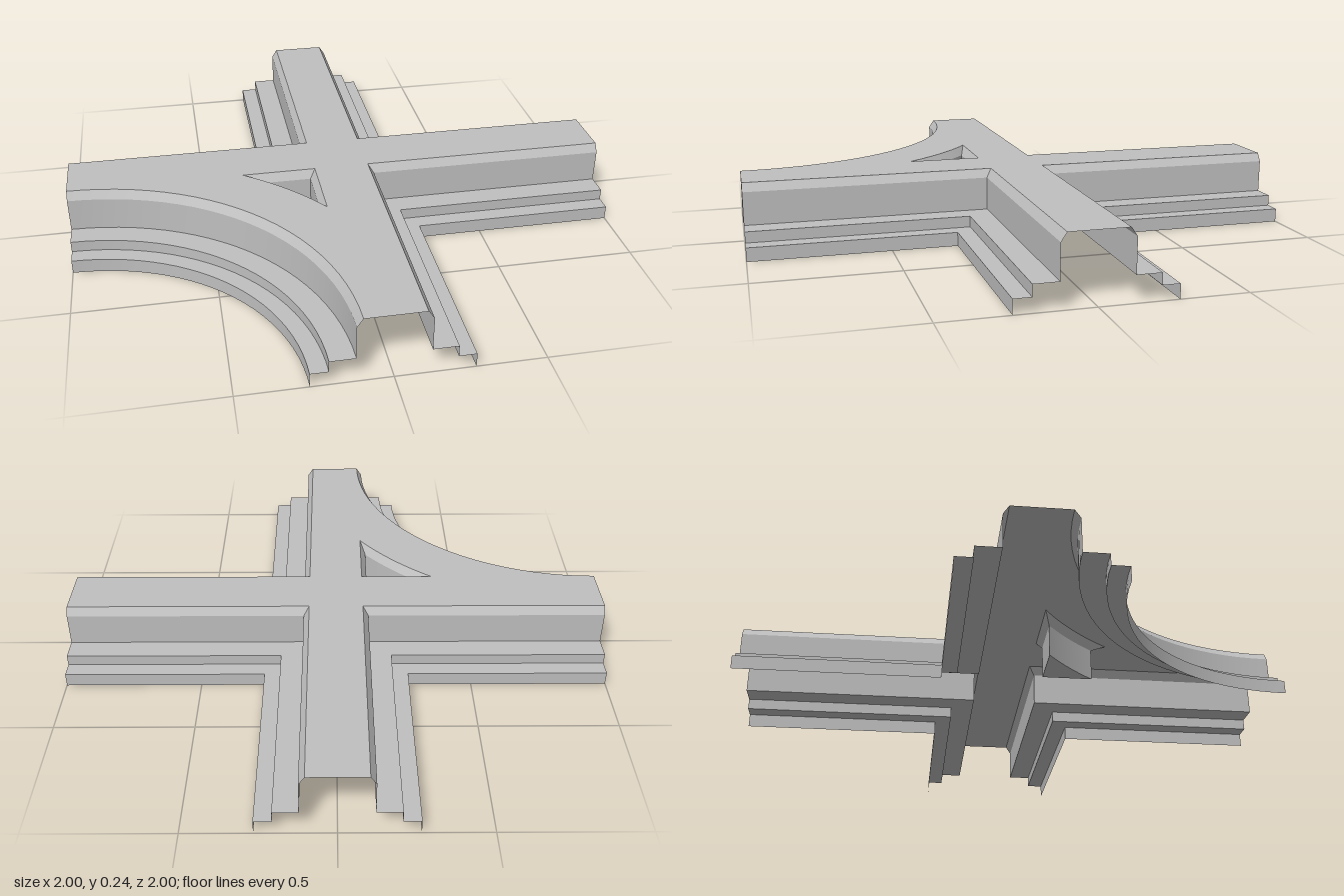
import * as THREE from 'three';
import { toCreasedNormals } from 'three/addons/utils/BufferGeometryUtils.js';

// Half-section of the channel: [distance from the arm's centre line, height]
const PROFILE = [[0.1, 0.24], [0.12, 0.21], [0.12, 0.09], [0.205, 0.09], [0.205, 0.05], [0.265, 0.05], [0.265, 0]];
const SEGMENTS = 24;

// Points on a circle about the bend centre (-1, 1), as [x, z]
function arc(radius, from, to) {
  return Array.from({ length: SEGMENTS + 1 }, (_, i) => {
    const a = from + (to - from) * i / SEGMENTS;
    return [-1 + radius * Math.cos(a), 1 - radius * Math.sin(a)];
  });
}

// Outline of the three-sided opening at distance h from the centre lines
function openingOutline(h) {
  const a = Math.asin((1 - h) / (1 + h));
  return [[-h, h], ...arc(1 + h, a, Math.PI / 2 - a), [-h, h]];
}

// Sheet swept through a profile; path(h) gives the [x, z] points at distance h
function sweep(profile, path) {
  const rows = profile.map(([h, y]) => path(h).map(([x, z]) => [x, y, z]));
  const positions = [];
  for (let r = 0; r < rows.length - 1; r++) {
    for (let i = 0; i < rows[r].length - 1; i++) {
      const a = rows[r][i], b = rows[r][i + 1], c = rows[r + 1][i + 1], d = rows[r + 1][i];
      positions.push(...a, ...b, ...c, ...a, ...c, ...d);
    }
  }
  const geometry = new THREE.BufferGeometry();
  geometry.setAttribute('position', new THREE.Float32BufferAttribute(positions, 3));
  return toCreasedNormals(geometry, 0.3);
}

// Flat horizontal sheet from [x, z] outlines
function plate(outline, y, hole) {
  const toVectors = (pts) => pts.map(([x, z]) => new THREE.Vector2(x, -z));
  const shape = new THREE.Shape(toVectors(outline));
  if (hole) shape.holes.push(new THREE.Path(toVectors(hole)));
  return new THREE.ShapeGeometry(shape).rotateX(-Math.PI / 2).translate(0, y, 0);
}

export function createModel() {
  const model = new THREE.Group();
  model.name = 'channelJunction';
  const grey = new THREE.MeshStandardMaterial({ color: 0xbfbfbf, side: THREE.DoubleSide });
  grey.name = 'grey';

  const add = (name, geometry) => {
    const mesh = new THREE.Mesh(geometry, grey);
    mesh.name = name;
    model.add(mesh);
  };

  // Top deck: four arms, the curved bend and the opening
  const w = 0.1;
  const outline = [
    [w, 1], [w, w], [1, w], [1, -w], [w, -w], [w, -1],
    [-w, -1], [-w, -w], [-1, -w], ...arc(1 - w, Math.PI / 2, 0),
  ];
  add('deck', plate(outline, 0.24, openingOutline(w).slice(0, -1)));

  // Stepped side walls around the three square corners
  for (const [name, sx, sz] of [['frontLeftWall', 1, 1], ['backLeftWall', 1, -1], ['backRightWall', -1, -1]]) {
    const path = (h) => [[sx, sz * h], [sx * h, sz * h], [sx * h, sz]];
    add(name, sweep(PROFILE, sx * sz > 0 ? path : (h) => path(h).reverse()));
  }

  // Stepped side wall around the curved bend
  add('curvedWall', sweep(PROFILE, (h) => arc(1 - h, 0, Math.PI / 2)));

  // Opening between the bend and the straight arms, with its floor
  add('openingWall', sweep(PROFILE.slice(0, 3), openingOutline));
  add('openingFloor', plate(openingOutline(0.12).slice(0, -1), 0.09));

  return model;
}
